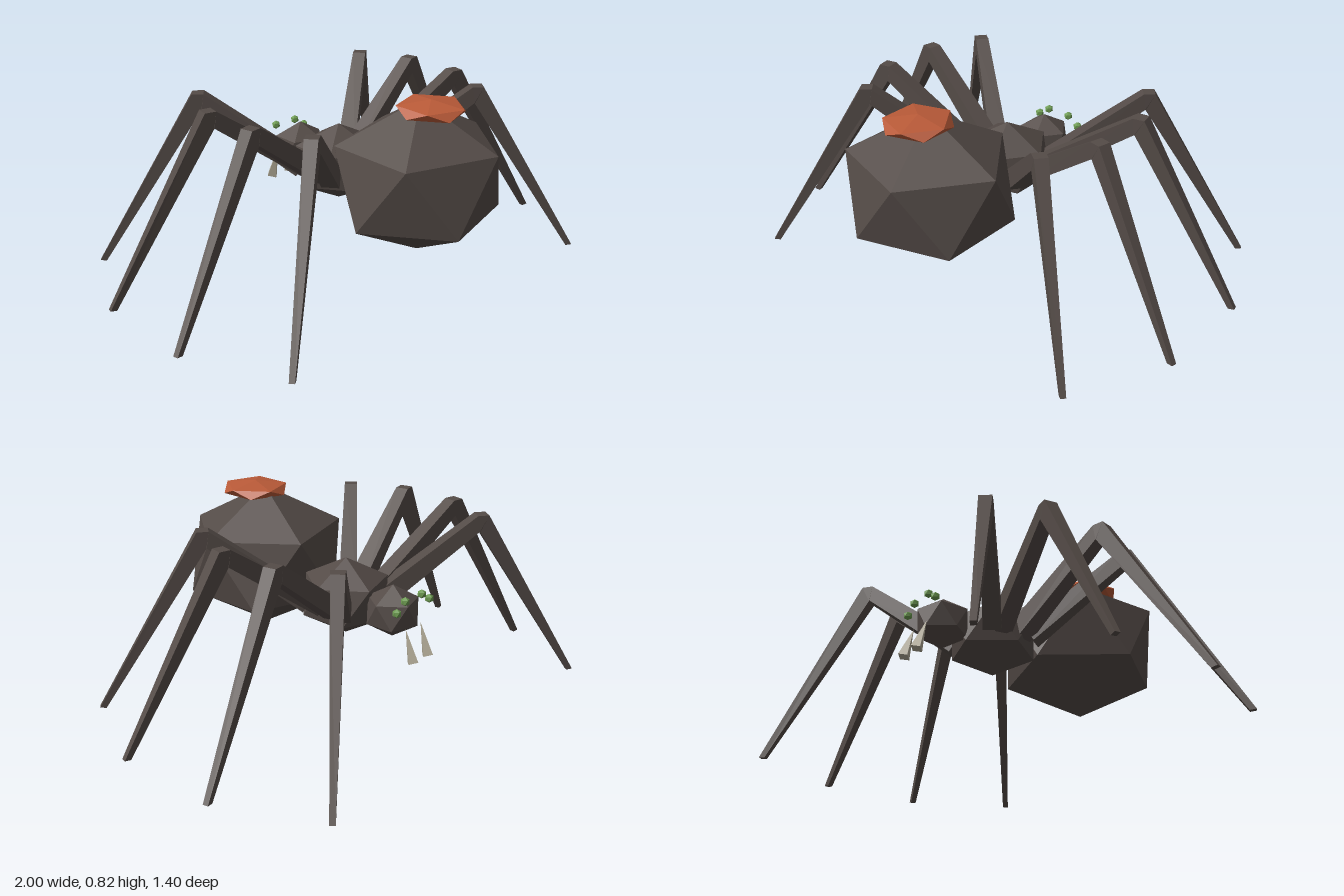
import * as THREE from 'three';

const mat = (name, color) => Object.assign(new THREE.MeshStandardMaterial({ color, flatShading: true }), { name });

export function createModel() {
  const g = new THREE.Group();
  g.name = 'spider';
  const body = mat('dark brown grey', 0x544b47);
  const orange = mat('orange', 0xb95a38);
  const green = mat('eye green', 0x6c9a50);
  const bone = mat('fang bone', 0xb0a996);

  const add = (name, geo, material) => {
    const m = new THREE.Mesh(geo, material);
    m.name = name;
    g.add(m);
    return m;
  };

  // Twenty-sided ball standing on one corner, stretched to size
  const ball = (name, material, pos, radii) => {
    const geo = new THREE.IcosahedronGeometry(1, 0);
    geo.rotateZ(-Math.atan(2 / (1 + Math.sqrt(5))));
    geo.scale(...radii);
    geo.translate(...pos);
    geo.computeVertexNormals();
    return add(name, geo, material);
  };

  ball('abdomen', body, [0, 0.495, 0.395], [0.369, 0.312, 0.358]);
  ball('abdomenMark', orange, [0, 0.784, 0.45], [0.147, 0.035, 0.153]);
  ball('thorax', body, [0, 0.425, -0.063], [0.198, 0.165, 0.2]);
  ball('head', body, [0, 0.425, -0.308], [0.118, 0.11, 0.118]);

  // Bent tapering leg: four square rings from hip, over a flat knee, to foot
  const legGeometry = (hip, kneeX, foot) => {
    const d = new THREE.Vector3(foot[0] - hip[0], 0, foot[1] - hip[1]);
    const length = d.length();
    const knee = length * (kneeX - hip[0]) / (foot[0] - hip[0]);
    d.normalize();
    const s = new THREE.Vector3().crossVectors(d, new THREE.Vector3(0, 1, 0));
    // reach and height of the upper edge, of the lower edge, half width
    const rings = [
      [-0.022, 0.445, 0.022, 0.378, 0.038],
      [knee - 0.025, 0.74, knee - 0.015, 0.672, 0.028],
      [knee + 0.022, 0.74, knee - 0.013, 0.67, 0.027],
      [length, 0.003, length - 0.026, 0, 0.011],
    ].map(([rt, yt, rb, yb, w]) => [[rt, yt, w], [rt, yt, -w], [rb, yb, -w], [rb, yb, w]].map(
      ([r, y, k]) => new THREE.Vector3(hip[0], y, hip[1]).addScaledVector(d, r).addScaledVector(s, k)));
    const pts = [];
    const quad = (a, b, c, e) => pts.push(a, b, c, a, c, e);
    for (let i = 0; i < 3; i++) {
      for (let j = 0; j < 4; j++) {
        const k = (j + 1) % 4;
        quad(rings[i][j], rings[i + 1][j], rings[i + 1][k], rings[i][k]);
      }
    }
    quad(...rings[0]);
    quad(...rings[3].slice().reverse());
    const geo = new THREE.BufferGeometry().setFromPoints(pts);
    geo.computeVertexNormals();
    return geo;
  };

  // name, hip z, knee x, foot x, foot z
  const legs = [
    ['frontLeg', -0.154, 0.45, 0.8, -0.695],
    ['frontMiddleLeg', -0.115, 0.555, 1, -0.285],
    ['backMiddleLeg', -0.02, 0.555, 1, 0.167],
    ['backLeg', 0.035, 0.45, 0.8, 0.577],
  ];

  for (const side of [1, -1]) {
    const label = side > 0 ? 'Left' : 'Right';
    for (const [name, hipZ, kneeX, footX, footZ] of legs) {
      add(name + label, legGeometry([side * 0.13, hipZ], side * kneeX, [side * footX, footZ]), body);
    }

    // Eyes: the inner pair sits higher than the outer pair
    ball('innerEye' + label, green, [side * 0.053, 0.506, -0.41], [0.019, 0.019, 0.019]);
    ball('outerEye' + label, green, [side * 0.104, 0.472, -0.41], [0.019, 0.019, 0.019]);

    // Fang, widening downward
    const fang = add('fang' + label, new THREE.ConeGeometry(0.027, 0.137, 4), bone);
    fang.position.set(side * 0.048, 0.323, -0.432);
    fang.rotation.x = 0.3;
  }
  return g;
}
